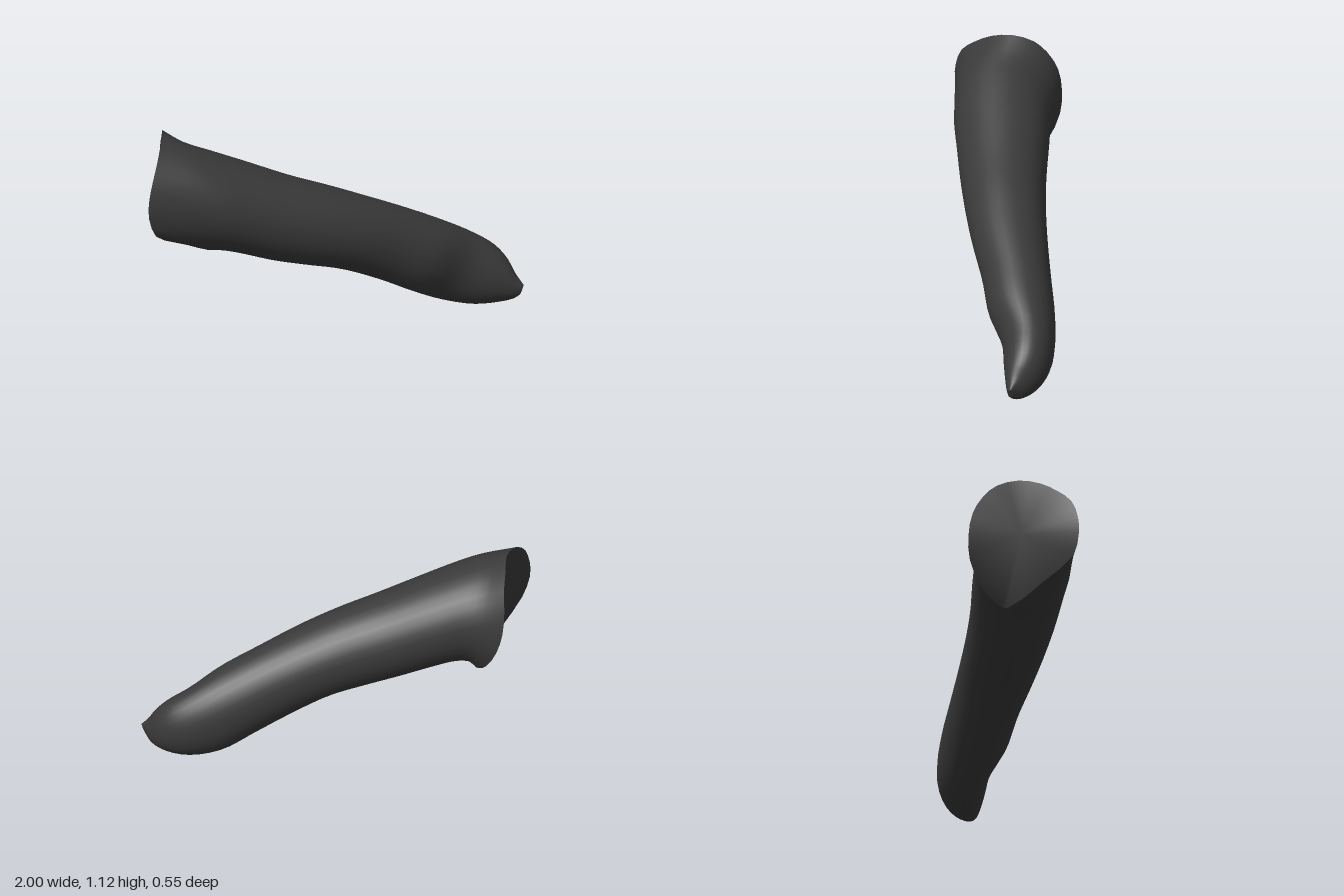
import * as THREE from 'three';

const SIDES = 32, STEPS = 40;

// Oblique open-end outline: top, front, bottom, back
const RIM = [
  [-0.87, 1.12, -0.02], [-0.91, 1.09, 0.09], [-0.94, 1.04, 0.17], [-0.975, 0.97, 0.24],
  [-1, 0.87, 0.27], [-1, 0.78, 0.275], [-0.96, 0.67, 0.25], [-0.84, 0.57, 0.11],
  [-0.71, 0.47, -0.06], [-0.72, 0.485, -0.11], [-0.76, 0.56, -0.2], [-0.81, 0.69, -0.265],
  [-0.84, 0.81, -0.275], [-0.85, 0.93, -0.255], [-0.85, 1.03, -0.2], [-0.86, 1.09, -0.13],
];

// Cross-sections: top x, top y, bottom x, bottom y, back z, front z
const SECTIONS = [
  [-0.76, 1.06, -0.66, 0.49, -0.235, 0.275],
  [-0.62, 1.005, -0.6, 0.488, -0.22, 0.275],
  [-0.45, 0.935, -0.51, 0.465, -0.213, 0.262],
  [-0.2, 0.83, -0.33, 0.405, -0.2, 0.24],
  [0, 0.755, -0.16, 0.36, -0.2, 0.215],
  [0.2, 0.67, 0.03, 0.31, -0.21, 0.18],
  [0.42, 0.57, 0.24, 0.215, -0.23, 0.125],
  [0.6, 0.48, 0.42, 0.12, -0.25, 0.09],
  [0.76, 0.385, 0.58, 0.04, -0.255, 0.02],
  [0.87, 0.31, 0.74, 0.002, -0.235, 0.008],
  [0.93, 0.24, 0.87, 0.01, -0.185, 0],
  [0.965, 0.17, 0.95, 0.035, -0.11, -0.008],
  [1, 0.12, 0.98, 0.065, -0.04, -0.015],
];

function sectionRing([tx, ty, bx, by, back, front]) {
  return Array.from({ length: SIDES }, (_, i) => {
    const a = (i / SIDES) * Math.PI * 2, c = Math.cos(a), s = Math.sin(a);
    return new THREE.Vector3(
      (tx + bx) / 2 + c * (tx - bx) / 2,
      (ty + by) / 2 + c * (ty - by) / 2,
      (back + front) / 2 + s * (front - back) / 2);
  });
}

function buildGeometry(points, index) {
  const g = new THREE.BufferGeometry().setFromPoints(points);
  g.setIndex(index);
  g.computeVertexNormals();
  return g;
}

// Flat fan closing a ring
function capGeometry(ring, reversed) {
  const center = ring.reduce((sum, p) => sum.add(p), new THREE.Vector3()).divideScalar(ring.length);
  const index = [];
  for (let i = 0; i < SIDES; i++) {
    const j = (i + 1) % SIDES;
    index.push(SIDES, reversed ? j : i, reversed ? i : j);
  }
  return buildGeometry([...ring, center], index);
}

export function createModel() {
  const group = new THREE.Group();
  group.name = 'taperedSleeve';
  const material = new THREE.MeshStandardMaterial({ color: 0x3a3a3a });

  const rimCurve = new THREE.CatmullRomCurve3(RIM.map(p => new THREE.Vector3(...p)), true);
  const rim = Array.from({ length: SIDES }, (_, i) => rimCurve.getPoint(i / SIDES));
  const rings = [rim, ...SECTIONS.map(sectionRing)];

  // Smooth lengthwise curves joining the rings
  const columns = rim.map((_, i) => new THREE.CatmullRomCurve3(rings.map(r => r[i])));
  const points = [], index = [];
  for (let r = 0; r <= STEPS; r++) {
    for (let i = 0; i < SIDES; i++) {
      points.push(columns[i].getPoint(r / STEPS));
      if (r === STEPS) continue;
      const j = (i + 1) % SIDES;
      const a = r * SIDES + i, b = r * SIDES + j, c = a + SIDES, d = b + SIDES;
      index.push(a, b, c, b, d, c);
    }
  }

  const add = (name, geometry) => {
    const mesh = new THREE.Mesh(geometry, material);
    mesh.name = name;
    group.add(mesh);
  };
  add('body', buildGeometry(points, index));
  add('wideEnd', capGeometry(rim, true));
  add('tip', capGeometry(rings[rings.length - 1], false));
  return group;
}
